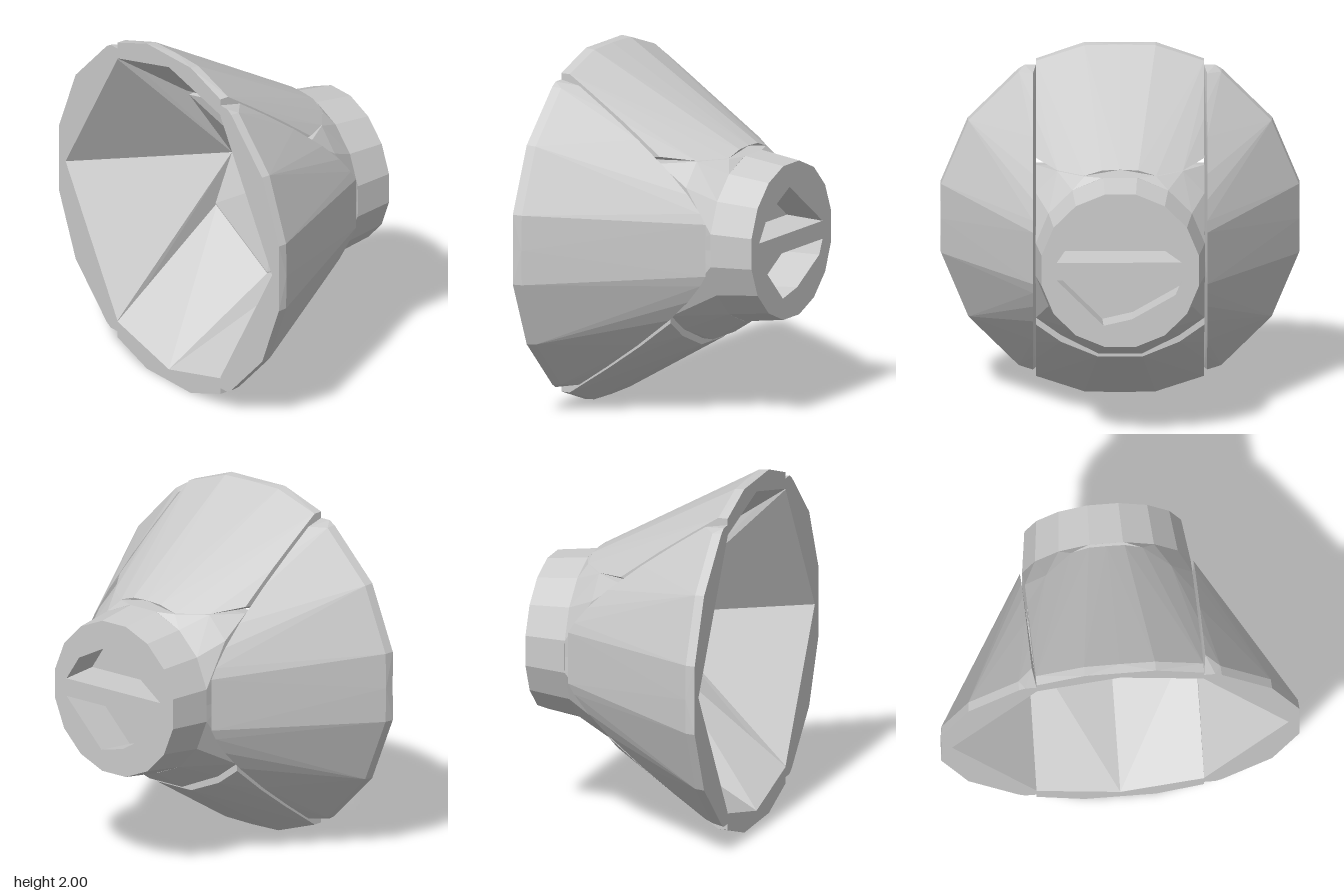
import * as THREE from 'three';
import { ConvexGeometry } from 'three/addons/geometries/ConvexGeometry.js';

const material = new THREE.MeshStandardMaterial({ color: 0xcccccc, flatShading: true });
const FRONT = 0.605, LIP = 0.55, W = 0.468, SIDE = 0.485;

// Outer radius of the flared horn at depth z
const radius = (z) => Math.min(1.02, 0.51 + 0.58 * (z + 0.33));

// Corners of a sixteen-sided ring lying inside an angle range (degrees)
function arc(r, z, from, to) {
  const points = [];
  for (let a = 11.25; a < 360; a += 22.5) {
    if (a < from || a > to) continue;
    const t = THREE.MathUtils.degToRad(a);
    points.push([r * Math.cos(t), r * Math.sin(t), z]);
  }
  return points;
}

// Points where the flare meets the upright plane at x
const cut = (x, depths) => depths.map((z) => [x, Math.sqrt(Math.max(0, radius(z) ** 2 - x * x)), z]);

export function createModel() {
  const group = new THREE.Group();

  // Solid faceted chunk, mirrored by sx, sy about the horn axis at y = 1
  function chunk(name, points, sx, sy) {
    const hull = points.map(([x, y, z]) => new THREE.Vector3(x * sx, 1 + y * sy, z));
    const mesh = new THREE.Mesh(new ConvexGeometry(hull), material);
    mesh.name = name;
    group.add(mesh);
  }

  // Side shell: quarter of the flare outside the cut, with a slanted inner face
  const sideShell = [
    [0.94, 0, FRONT], [W, 0.805, FRONT], [W, 0, -0.2],
    [1, 0, FRONT], [1, 0, LIP], [SIDE, 0, -0.335],
    ...arc(1.02, FRONT, 0, 58), ...arc(1.015, LIP, 0, 58),
    [0.53, 0.87, FRONT], [W, 0.87, FRONT],
    ...cut(SIDE, [-0.335, -0.3, -0.22, -0.1, 0.1, 0.3, 0.48]),
  ];

  // Upper shell: half of the strip between the side cuts, above the flat ledge
  const upperShell = [
    [0, 0.93, FRONT], [W, 0.81, FRONT], [0, 0.472, -0.07], [W, 0.472, 0.12],
    [0, 1, FRONT], [0, 1, LIP],
    ...arc(1.02, FRONT, 62, 90), ...arc(1.015, LIP, 62, 90),
    ...cut(W, [-0.03, 0.2, 0.4, LIP, FRONT]),
    [0, 0.51, -0.33], [0.1, 0.505, -0.33], [0.2, 0.472, -0.32], [0.35, 0.472, -0.2],
  ];

  // Lower shell: half of the strip, ending on a flat rear face
  const lowerShell = [
    [0, 0.93, FRONT], [W, 0.81, FRONT], [0, 0.53, -0.1], [W, 0.28, -0.1],
    [0, 1, FRONT], [0, 1, LIP],
    ...arc(1.02, FRONT, 62, 90), ...arc(1.015, LIP, 62, 90),
    ...cut(W, [-0.1, 0.1, 0.3, LIP, FRONT]),
    [0, 0.625, -0.1], [0.125, 0.625, -0.1], [0.33, 0.54, -0.1],
  ];

  // Throat blocks closing the back of the cavity
  const rear = [[0, 0.47, -0.36], [0.1, 0.47, -0.36], ...arc(0.48, -0.36, 0, 70), [W, 0, -0.36], [0, 0, -0.36]];
  const upperThroat = [
    [0, 0, -0.2], [W, 0, -0.2], [W, 0.44, 0.1], [0, 0.468, -0.07],
    [W, 0.46, -0.03], [W, 0.34, -0.2], [0.35, 0.468, -0.2], [0.2, 0.468, -0.32],
    ...rear,
  ];
  const lowerThroat = [
    [0, 0, -0.2], [W, 0, -0.2], [0, 0.53, -0.085], [W, 0.28, -0.085],
    [0, 0.59, -0.105], [0.12, 0.59, -0.105], [0.33, 0.5, -0.105], [W, 0.4, -0.105],
    [0, 0.59, -0.17], [0.12, 0.59, -0.17],
    ...rear,
  ];

  for (const sx of [1, -1]) {
    for (const sy of [1, -1]) chunk('sideShell', sideShell, sx, sy);
    chunk('upperShell', upperShell, sx, 1);
    chunk('lowerShell', lowerShell, sx, -1);
    chunk('upperThroat', upperThroat, sx, 1);
    chunk('lowerThroat', lowerThroat, sx, -1);
  }

  // Rear neck: tapered collar with two angular pockets either side of a bar
  const outline = arc(0.48, 0, 0, 360).map(([x, y]) => new THREE.Vector2(x, y));
  const collar = new THREE.Shape(outline);
  const pockets = [
    [[0.38, 0.05], [0.28, 0.2], [0.02, 0.33], [-0.37, 0.05]],
    [[0.38, -0.06], [-0.37, -0.06], [-0.33, -0.15], [-0.07, -0.3], [0.1, -0.34]],
  ];
  for (const p of pockets) collar.holes.push(new THREE.Path(p.map(([x, y]) => new THREE.Vector2(x, y))));
  const neckGeometry = new THREE.ExtrudeGeometry(collar, { depth: 0.245, bevelEnabled: false });
  const position = neckGeometry.attributes.position;
  for (let i = 0; i < position.count; i++) {
    const z = position.getZ(i);
    const s = 0.93 + 0.07 * (z / 0.245);
    position.setXY(i, position.getX(i) * s, position.getY(i) * s);
  }
  neckGeometry.computeVertexNormals();
  const neck = new THREE.Mesh(neckGeometry, material);
  neck.name = 'neck';
  neck.position.set(0, 1, -0.605);
  group.add(neck);

  return group;
}
